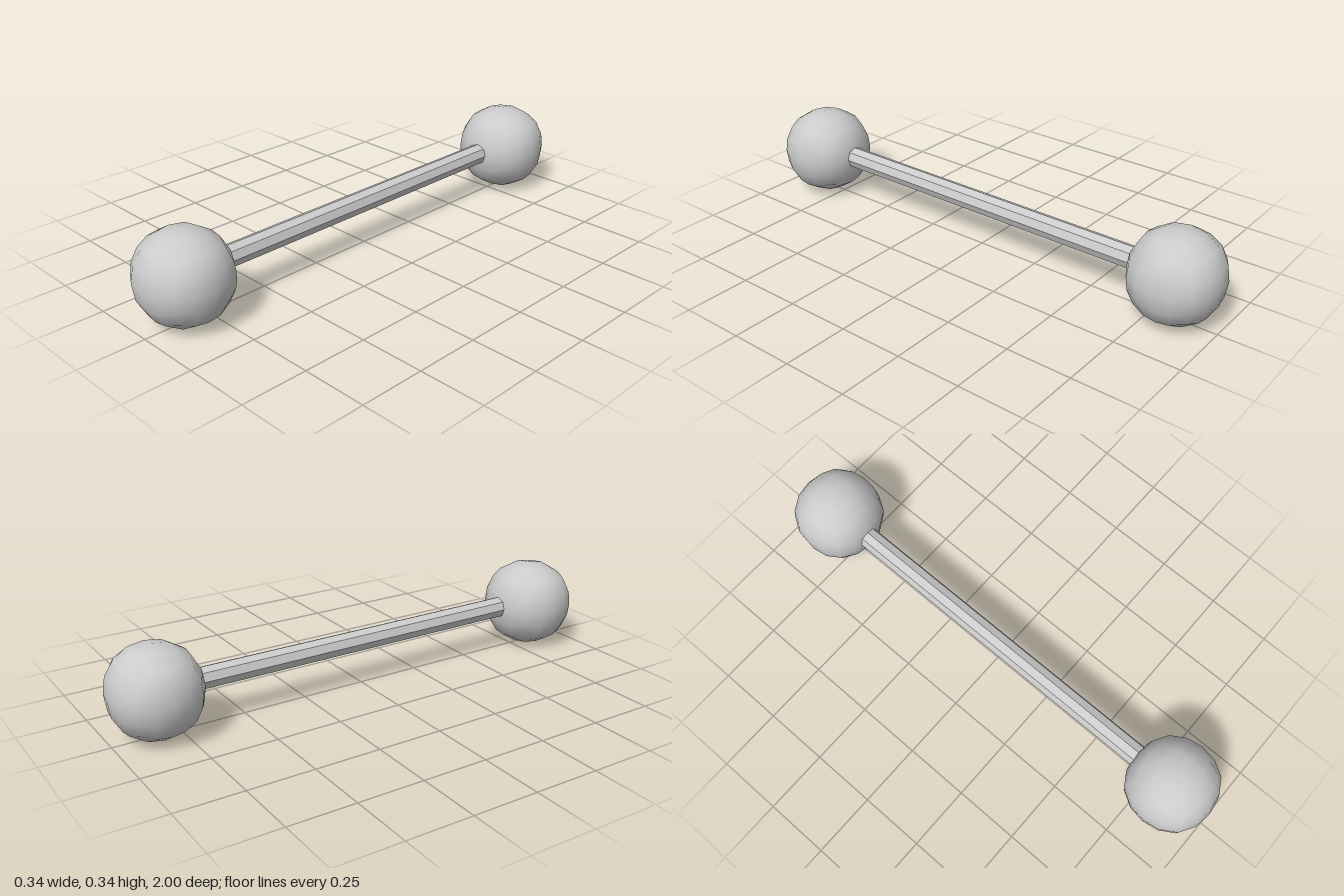
import * as THREE from 'three';
import { mergeVertices } from 'three/addons/utils/BufferGeometryUtils.js';

const CENTRE_Y = 0.173, BALL_Z = 0.832, BALL_R = 0.171;

// Ball made from a subdivided cube, bulging slightly towards the cube's edges
function ballGeometry() {
  const box = new THREE.BoxGeometry(2, 2, 2, 4, 4, 4);
  box.deleteAttribute('normal');
  box.deleteAttribute('uv');
  const geo = mergeVertices(box);
  const pos = geo.attributes.position;
  const v = new THREE.Vector3();
  const even = (t) => Math.tan(t * Math.PI / 4);
  for (let i = 0; i < pos.count; i++) {
    v.fromBufferAttribute(pos, i);
    v.set(even(v.x), even(v.y), even(v.z)).normalize();
    const roundness = 1 - (v.x ** 4 + v.y ** 4 + v.z ** 4);
    v.multiplyScalar(BALL_R + 0.012 * roundness);
    pos.setXYZ(i, v.x, v.y, v.z * 0.982);
  }
  geo.computeVertexNormals();
  return geo;
}

export function createModel() {
  const model = new THREE.Group();
  model.name = 'barbell';
  const smooth = new THREE.MeshStandardMaterial({ color: 0xcccccc });
  const faceted = new THREE.MeshStandardMaterial({ color: 0xcccccc, flatShading: true });

  // Ball at each end
  const ballGeo = ballGeometry();
  for (const [name, side] of [['frontBall', 1], ['backBall', -1]]) {
    const ball = new THREE.Mesh(ballGeo, smooth);
    ball.name = name;
    ball.position.set(0, CENTRE_Y, side * BALL_Z);
    model.add(ball);
  }

  // Eight-sided bar, its ends sunk into the balls
  const barGeo = new THREE.CylinderGeometry(0.042, 0.042, 1.36, 8, 1, true);
  barGeo.rotateX(Math.PI / 2);
  const bar = new THREE.Mesh(barGeo, faceted);
  bar.name = 'bar';
  bar.position.y = CENTRE_Y + 0.003;
  model.add(bar);

  return model;
}
